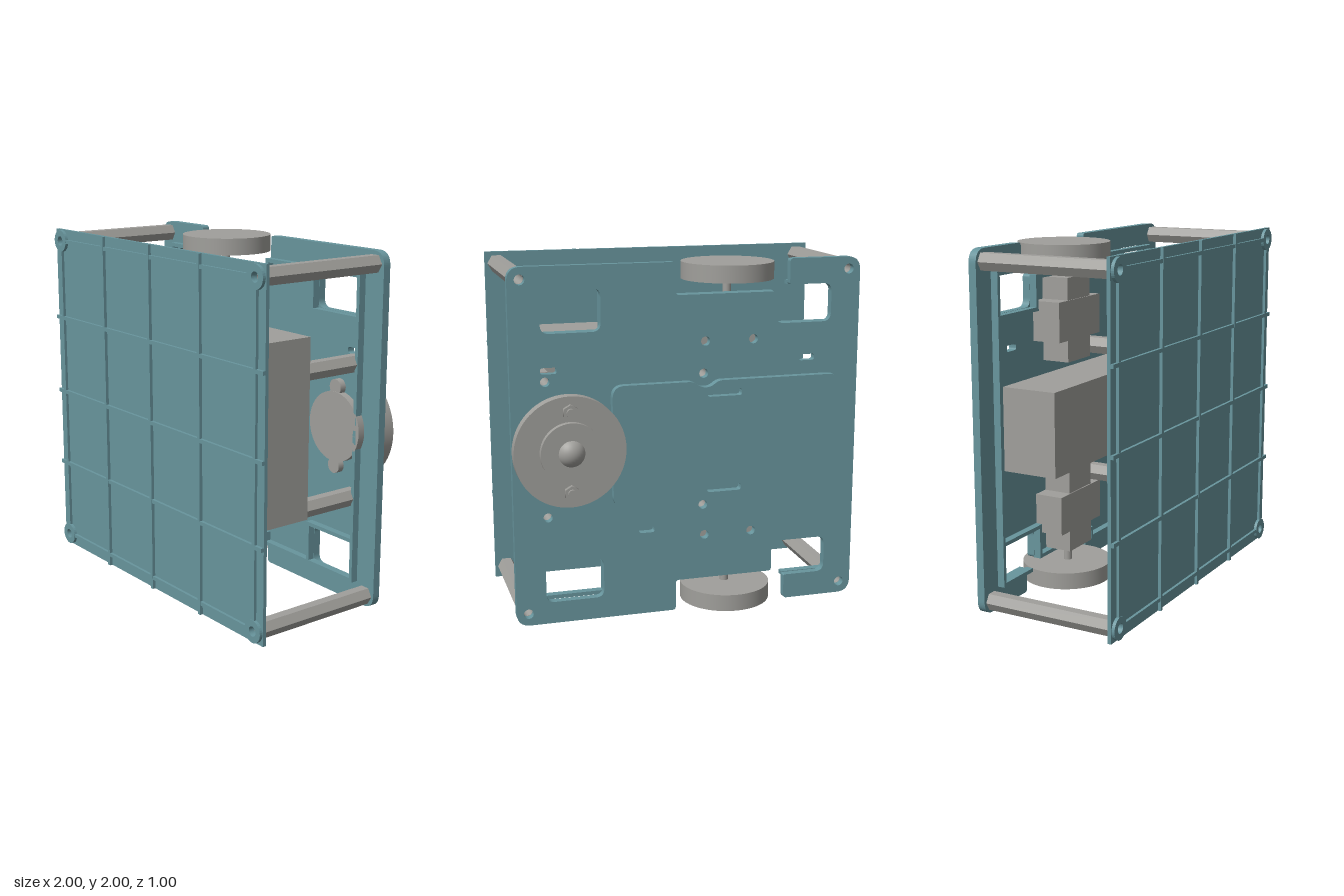
import * as THREE from 'three';

const teal = new THREE.MeshStandardMaterial({ color: 0x68959d });
teal.name = 'teal plastic';
const grey = new THREE.MeshStandardMaterial({ color: 0xa09f9b });
grey.name = 'grey hardware';

// Closed path through [x, y, radius] corners, each corner rounded by its radius
function trace(path, pts) {
  const n = pts.length;
  pts.forEach(([x, y, r = 0], i) => {
    const c = new THREE.Vector2(x, y);
    const toward = (p) => new THREE.Vector2(p[0], p[1]).sub(c).setLength(r).add(c);
    const a = toward(pts[(i + n - 1) % n]);
    const b = toward(pts[(i + 1) % n]);
    if (i === 0) path.moveTo(a.x, a.y);
    else path.lineTo(a.x, a.y);
    if (r > 0) path.quadraticCurveTo(x, y, b.x, b.y);
  });
  path.closePath();
  return path;
}
const rectPts = (x0, x1, y0, y1, r) => [[x0, y0, r], [x1, y0, r], [x1, y1, r], [x0, y1, r]];
const rectHole = (x0, x1, y0, y1, r) => trace(new THREE.Path(), rectPts(x0, x1, y0, y1, r));
const slot = (x, y, w, h) => rectHole(x - w / 2, x + w / 2, y - h / 2, y + h / 2, h * 0.4);
const roundHole = (x, y, r) => new THREE.Path().absarc(x, y, r, 0, Math.PI * 2, true);

export function createModel() {
  const model = new THREE.Group();
  model.name = 'robotBase';

  const add = (name, geo, mat, parent = model) => {
    const m = new THREE.Mesh(geo, mat);
    m.name = name;
    parent.add(m);
    return m;
  };
  const slab = (name, shape, z0, z1, mat, parent) => {
    const geo = new THREE.ExtrudeGeometry(shape, { depth: z1 - z0, bevelEnabled: false, curveSegments: 16 });
    return add(name, geo.translate(0, 0, z0), mat, parent);
  };
  const box = (name, x0, x1, y0, y1, z0, z1, mat, parent) =>
    add(name, new THREE.BoxGeometry(x1 - x0, y1 - y0, z1 - z0)
      .translate((x0 + x1) / 2, (y0 + y1) / 2, (z0 + z1) / 2), mat, parent);
  const discZ = (name, x, y, r, z0, z1, mat, parent, sides = 48) =>
    add(name, new THREE.CylinderGeometry(r, r, z1 - z0, sides).rotateX(Math.PI / 2)
      .translate(x, y, (z0 + z1) / 2), mat, parent);

  const c = 0.932;
  const corners = [[-c, 1 - c], [c, 1 - c], [-c, 1 + c], [c, 1 + c]];

  // Front plate with raised ribs and corner rings
  const front = new THREE.Group();
  front.name = 'frontPlate';
  model.add(front);
  const frontShape = trace(new THREE.Shape(), rectPts(-1, 1, 0, 2, 0));
  corners.forEach(([x, y]) => frontShape.holes.push(roundHole(x, y, 0.028)));
  slab('frontPanel', frontShape, 0.462, 0.482, teal, front);
  for (const t of [-0.463, 0, 0.463]) {
    box('verticalRib', t - 0.011, t + 0.011, 0, 2, 0.48, 0.5, teal, front);
    box('horizontalRib', -1, 1, 1 + t - 0.011, 1 + t + 0.011, 0.48, 0.499, teal, front);
  }
  for (const s of [-c, c]) {
    box('sideRib', s - 0.011, s + 0.011, 0.12, 1.88, 0.48, 0.498, teal, front);
    box('edgeRib', -0.88, 0.88, 1 + s - 0.011, 1 + s + 0.011, 0.48, 0.498, teal, front);
  }
  corners.forEach(([x, y]) => {
    const ring = new THREE.Shape().absarc(x, y, 0.064, 0, Math.PI * 2);
    ring.holes.push(roundHole(x, y, 0.028));
    slab('cornerRing', ring, 0.48, 0.5, teal, front);
  });

  // Back plate: wheel notches run into the cutouts on the right
  const half = [[1, 1, 0.08], [0.08, 1, 0.02], [0.08, 0.82, 0.02], [-0.5, 0.82, 0.02], [-0.5, 0.64, 0.05],
    [-0.83, 0.64, 0.05], [-0.83, 0.855, 0.05], [-0.58, 0.855, 0.01], [-0.58, 1, 0.02], [-1, 1, 0.08]];
  const outline = [...half.map(([x, y, r]) => [x, 1 + y, r]),
    ...half.slice().reverse().map(([x, y, r]) => [x, 1 - y, r])];
  const back = new THREE.Group();
  back.name = 'backPlate';
  model.add(back);
  const backShape = trace(new THREE.Shape(), outline);
  backShape.holes.push(rectHole(0.5, 0.83, 1.64, 1.875, 0.05), rectHole(0.5, 0.83, 0.125, 0.36, 0.05),
    slot(0.79, 1.44, 0.09, 0.035), slot(-0.69, 1.44, 0.09, 0.035), slot(0.25, 0.5, 0.09, 0.035));
  corners.forEach(([x, y]) => backShape.holes.push(roundHole(x, y, 0.028)));
  for (const s of [-1, 1]) {
    for (const [x, dy] of [[0.81, 0.38], [-0.08, 0.38], [-0.09, 0.56], [-0.37, 0.56]]) {
      backShape.holes.push(roundHole(x, 1 + s * dy, 0.026));
    }
  }
  slab('backPanel', backShape, -0.355, -0.31, teal, back);

  // Stiffening rim on the inside of the back plate
  const rims = [
    [[0.855, 0], [0.855, 0.862], [0.092, 0.862], [0.092, 0.808], [-0.488, 0.808], [-0.488, 0.628], [-0.858, 0.628]],
    [[-0.592, 0.862], [-0.858, 0.862], [-0.858, 0]],
    [[0.488, 0.862], [0.488, 0.628], [0.855, 0.628]],
  ];
  for (const s of [-1, 1]) {
    for (const line of rims) {
      for (let i = 1; i < line.length; i++) {
        const [ax, ay] = line[i - 1];
        const [bx, by] = line[i];
        const y0 = 1 + s * ay;
        const y1 = 1 + s * by;
        box('innerRim', Math.min(ax, bx) - 0.011, Math.max(ax, bx) + 0.011,
          Math.min(y0, y1) - 0.011, Math.max(y0, y1) + 0.011, -0.312, -0.268, teal, back);
      }
    }
  }

  // Raised cover on the back, scooped around two screw holes
  const cover = trace(new THREE.Shape(), [
    [-0.88, 0.655, 0.07], [-0.15, 0.655, 0.03], [-0.11, 0.69, 0.03], [-0.05, 0.69, 0.03], [-0.01, 0.655, 0.03],
    [0.45, 0.655, 0.07], [0.45, 1.345, 0.07], [-0.01, 1.345, 0.03], [-0.05, 1.31, 0.03], [-0.11, 1.31, 0.03],
    [-0.15, 1.345, 0.03], [-0.88, 1.345, 0.07]]);
  cover.holes.push(slot(-0.19, 1.275, 0.2, 0.04), slot(-0.19, 0.725, 0.2, 0.04));
  slab('backCover', cover, -0.402, -0.35, teal, back);

  // Hollow hexagonal spacers
  const spacer = (name, x, y, z0, z1) => {
    const pts = [0, 1, 2, 3, 4, 5].map((i) =>
      [x + 0.053 * Math.cos(i * Math.PI / 3), y + 0.053 * Math.sin(i * Math.PI / 3)]);
    const hex = trace(new THREE.Shape(), pts);
    hex.holes.push(roundHole(x, y, 0.027));
    slab(name, hex, z0, z1, grey);
  };
  corners.forEach(([x, y]) => spacer('cornerSpacer', x, y, -0.31, 0.462));
  for (const x of [-0.08, 0.81]) {
    for (const y of [0.62, 1.38]) spacer('boxSpacer', x, y, -0.31, 0.07);
  }

  // Controller box and battery
  box('controllerBox', -0.135, 0.865, 0.575, 1.575, 0.07, 0.378, grey);
  box('battery', -0.78, 0.345, 0.768, 1.24, -0.31, 0.017, grey);

  // Drive units, mirrored top and bottom
  for (const s of [-1, 1]) {
    const drive = new THREE.Group();
    drive.name = s > 0 ? 'upperDrive' : 'lowerDrive';
    model.add(drive);
    const span = (a, b) => [Math.min(1 + s * a, 1 + s * b), Math.max(1 + s * a, 1 + s * b)];
    box('gearbox', -0.37, -0.13, ...span(0.66, 0.795), -0.31, -0.146, grey, drive);
    box('motorBracket', -0.47, -0.03, ...span(0.445, 0.67), -0.31, -0.14, grey, drive);
    box('motorBody', -0.37, -0.13, ...span(0.32, 0.45), -0.31, -0.146, grey, drive);
    add('axle', new THREE.CylinderGeometry(0.024, 0.024, 0.13, 20).translate(-0.25, 1 + s * 0.845, -0.235), grey, drive);
    add('wheel', new THREE.CylinderGeometry(0.26, 0.26, 0.096, 64).translate(-0.25, 1 + s * 0.938, -0.24), grey, drive);
  }

  // Ball caster
  const caster = new THREE.Group();
  caster.name = 'ballCaster';
  model.add(caster);
  discZ('casterFlange', 0.69, 1, 0.31, -0.422, -0.353, grey, caster, 64);
  discZ('casterCollar', 0.69, 1, 0.17, -0.458, -0.42, grey, caster);
  discZ('casterHousing', 0.69, 1, 0.2, -0.31, -0.268, grey, caster);
  add('casterBall', new THREE.SphereGeometry(0.085, 32, 20).translate(0.69, 1, -0.415), grey, caster);
  for (const y of [0.775, 1.225]) {
    discZ('casterNut', 0.69, y, 0.043, -0.448, -0.42, grey, caster, 6);
    discZ('casterScrew', 0.69, y, 0.024, -0.462, -0.44, grey, caster, 20);
    discZ('innerNut', 0.69, y, 0.045, -0.31, -0.272, grey, caster, 20);
  }

  return model;
}
